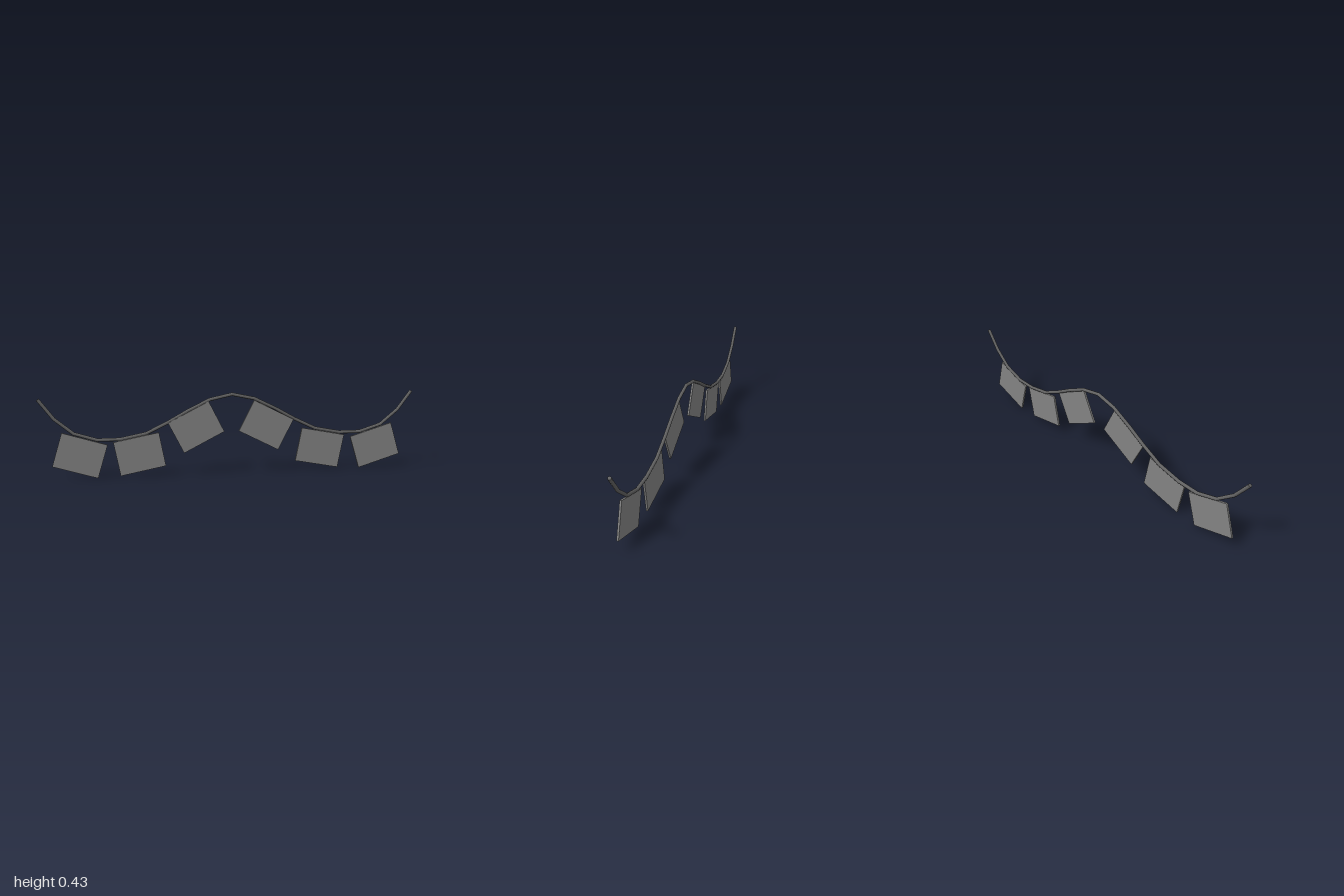
import * as THREE from 'three';

// Polyline whose corners land exactly on the tube's rings
class StringCurve extends THREE.Curve {
  constructor(points) {
    super();
    this.points = points;
  }
  getPoint(t, target = new THREE.Vector3()) {
    const n = this.points.length - 1;
    const i = Math.min(Math.floor(t * n + 1e-9), n - 1);
    return target.lerpVectors(this.points[i], this.points[i + 1], t * n - i);
  }
  getPointAt(u, target) { return this.getPoint(u, target); }
  getTangentAt(u, target) { return this.getTangent(u, target); }
}

export function createModel() {
  const model = new THREE.Group();
  model.name = 'bunting';
  const stringMaterial = new THREE.MeshStandardMaterial({ color: 0x626262 });
  const flagMaterial = new THREE.MeshStandardMaterial({ color: 0x828282 });
  const radius = 0.009;

  // Sagging string, right half mirrored to the left
  const half = [
    [0, 0.423], [0.118, 0.398], [0.235, 0.341], [0.335, 0.285], [0.453, 0.228],
    [0.587, 0.202], [0.704, 0.202], [0.822, 0.239], [0.917, 0.318], [0.992, 0.419],
  ].map(([x, y]) => new THREE.Vector3(x, y, 0));
  const mirrored = half.slice(1).reverse().map((p) => new THREE.Vector3(-p.x, p.y, 0));
  const points = [...mirrored, ...half];
  const curve = new StringCurve(points);
  const string = new THREE.Mesh(new THREE.TubeGeometry(curve, points.length - 1, radius, 8), stringMaterial);
  string.name = 'string';
  model.add(string);

  // Caps closing the string's ends
  for (const t of [0, 1]) {
    const cap = new THREE.Mesh(new THREE.CircleGeometry(radius, 8), stringMaterial);
    cap.name = 'stringEnd';
    const p = curve.getPoint(t);
    cap.position.copy(p);
    cap.lookAt(p.clone().addScaledVector(curve.getTangent(t), t ? 1 : -1));
    model.add(cap);
  }

  // Thin rectangular flags: x, y, tilt in degrees
  const flags = [
    [-0.793, 0.124, -17], [-0.488, 0.121, 10.8], [-0.191, 0.254, 27],
    [0.183, 0.254, -27], [0.48, 0.121, -10.8], [0.792, 0.124, 17],
  ];
  const flagGeometry = new THREE.BoxGeometry(0.24, 0.182, 0.01);
  flags.forEach(([x, y, tilt], i) => {
    const flag = new THREE.Mesh(flagGeometry, flagMaterial);
    flag.name = `flag${i + 1}`;
    flag.position.set(x, y, 0.005);
    flag.rotation.z = THREE.MathUtils.degToRad(tilt);
    model.add(flag);
  });

  return model;
}
